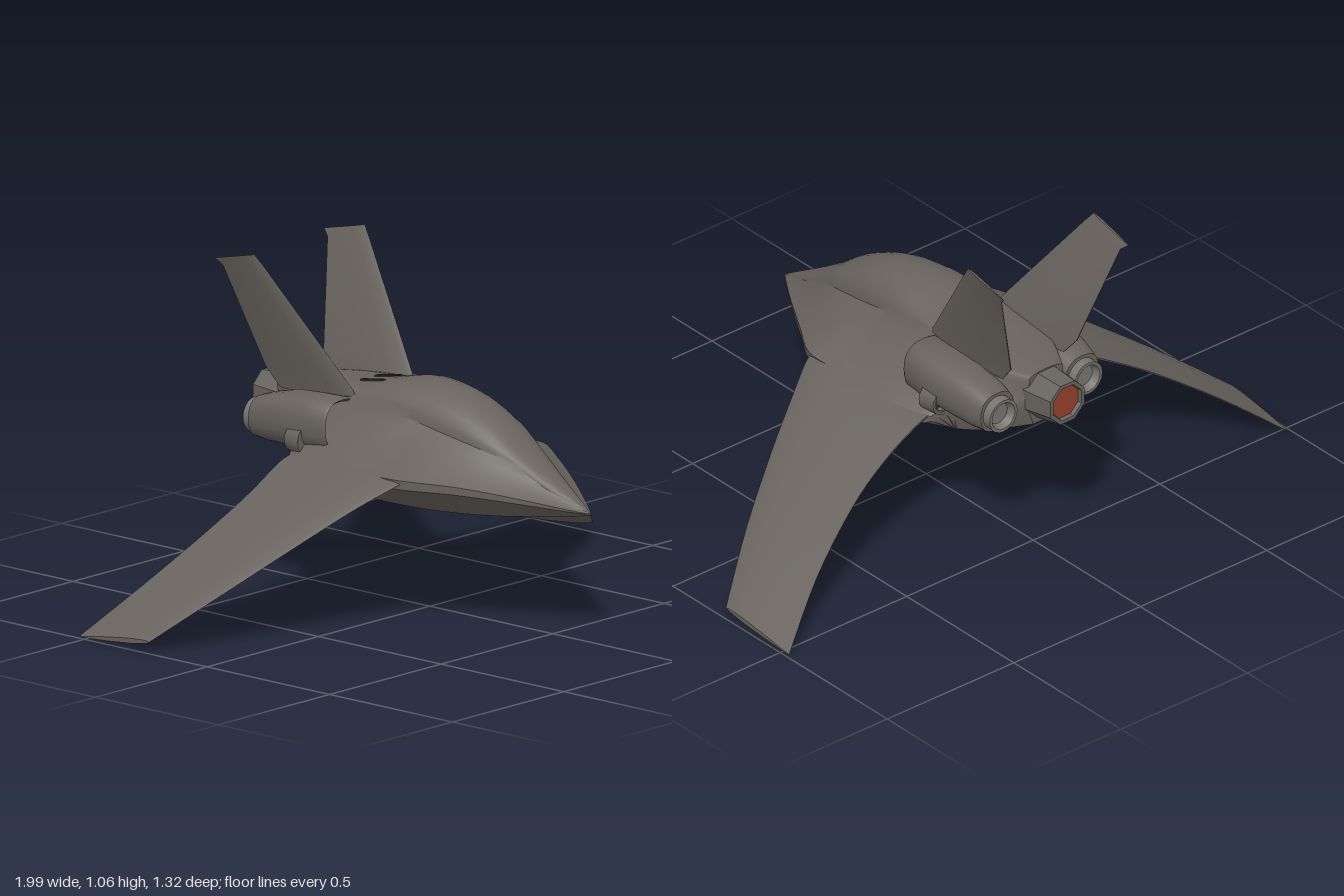
import * as THREE from 'three';
import { toCreasedNormals } from 'three/addons/utils/BufferGeometryUtils.js';

const V = (x, y, z) => new THREE.Vector3(x, y, z);
const material = (name, color) => {
  const m = new THREE.MeshStandardMaterial({ color });
  m.name = name;
  return m;
};

// Skin a row of equal-length closed rings, with fan caps at both ends.
function loft(rings, crease = 0.6, mirrored = false) {
  const n = rings[0].length, last = rings.length - 1, pos = [];
  const tri = (a, b, c) => {
    for (const p of mirrored ? [a, c, b] : [a, b, c]) pos.push(mirrored ? -p.x : p.x, p.y, p.z);
  };
  for (let i = 0; i < last; i++) {
    for (let j = 0; j < n; j++) {
      const k = (j + 1) % n, A = rings[i], B = rings[i + 1];
      tri(A[j], A[k], B[j]);
      tri(A[k], B[k], B[j]);
    }
  }
  for (let j = 1; j < n - 1; j++) {
    tri(rings[0][0], rings[0][j + 1], rings[0][j]);
    tri(rings[last][0], rings[last][j], rings[last][j + 1]);
  }
  const g = new THREE.BufferGeometry();
  g.setAttribute('position', new THREE.Float32BufferAttribute(pos, 3));
  return toCreasedNormals(g, crease);
}

// Fill in smooth rows between the given ones.
function smoothRows(rows, steps) {
  const out = [];
  for (let i = 0; i < rows.length - 1; i++) {
    const a = rows[Math.max(i - 1, 0)], b = rows[i], c = rows[i + 1], d = rows[Math.min(i + 2, rows.length - 1)];
    for (let s = 0; s < steps; s++) {
      const t = s / steps;
      out.push(b.map((p, k) => {
        const slope = c[k] - a[k];
        const bend = 2 * a[k] - 5 * p + 4 * c[k] - d[k];
        const twist = 3 * (p - c[k]) + d[k] - a[k];
        return p + 0.5 * t * (slope + t * (bend + t * twist));
      }));
    }
  }
  out.push(rows[rows.length - 1]);
  return out;
}

// Body section: domed top, hollow flare to the chine, flat belly.
function bodyRing([z, top, sx, sy, cx, cy, bx, by]) {
  const half = [];
  for (let i = 0; i <= 7; i++) {
    const a = (i / 7) * Math.PI / 2;
    half.push([sx * Math.sin(a), sy + (top - sy) * Math.cos(a)]);
  }
  const qx = sx + (cx - sx) * 0.4, qy = cy + (sy - cy) * 0.36;
  for (let i = 1; i <= 6; i++) {
    const t = i / 6, u = 1 - t;
    half.push([u * u * sx + 2 * u * t * qx + t * t * cx, u * u * sy + 2 * u * t * qy + t * t * cy]);
  }
  half.push([cx * 0.98 + bx * 0.02, cy + (by - cy) * 0.25], [bx, by]);
  const other = half.slice(1).reverse().map(([x, y]) => [-x, y]);
  return [...half, ...other].map(([x, y]) => V(x, y, z));
}

// Thin aerofoil between a leading and a trailing point.
function foilRing(lead, trail, t, n) {
  const at = (f, h) => trail.clone().lerp(lead, f).addScaledVector(n, h * t);
  return [at(0, 0.08), at(0.4, 0.4), at(0.75, 0.5), at(0.95, 0.3), at(1, 0),
    at(0.95, -0.3), at(0.75, -0.5), at(0.4, -0.4), at(0, -0.08)];
}

// Round or slightly squared ring, clockwise seen from the front.
function tubeRing([z, cx, cy, r], sides = 28, power = 2, turn = 0) {
  const bend = (v) => Math.sign(v) * Math.pow(Math.abs(v), 2 / power);
  return Array.from({ length: sides }, (_, i) => {
    const a = turn + (i / sides) * Math.PI * 2;
    return V(cx + r * bend(Math.sin(a)), cy + r * bend(Math.cos(a)), z);
  });
}

export function createModel() {
  const hull = material('hull grey', 0x68635e);
  const metal = material('nozzle metal', 0x787470);
  const dark = material('dark recess', 0x35322f);
  const glow = material('exhaust red', 0x96402c);

  const model = new THREE.Group();
  model.name = 'aircraft';
  const add = (name, geometry, mat) => {
    const mesh = new THREE.Mesh(geometry, mat);
    mesh.name = name;
    model.add(mesh);
    return mesh;
  };

  // Body with the blended canopy: z, top, shoulder x y, chine x y, belly x y
  const body = [
    [0.655, 0.402, 0.002, 0.401, 0.004, 0.4, 0.002, 0.396],
    [0.6, 0.435, 0.02, 0.425, 0.045, 0.412, 0.025, 0.387],
    [0.5, 0.495, 0.05, 0.47, 0.115, 0.435, 0.07, 0.378],
    [0.4, 0.56, 0.075, 0.525, 0.18, 0.455, 0.12, 0.372],
    [0.3, 0.632, 0.105, 0.56, 0.243, 0.47, 0.16, 0.369],
    [0.17, 0.692, 0.125, 0.59, 0.32, 0.48, 0.19, 0.366],
    [0.05, 0.714, 0.135, 0.615, 0.32, 0.476, 0.2, 0.365],
    [-0.05, 0.71, 0.14, 0.635, 0.32, 0.472, 0.2, 0.365],
    [-0.2, 0.676, 0.135, 0.65, 0.31, 0.465, 0.2, 0.37],
    [-0.32, 0.66, 0.13, 0.648, 0.28, 0.46, 0.18, 0.388],
    [-0.36, 0.655, 0.13, 0.645, 0.2, 0.5, 0.17, 0.396],
    [-0.45, 0.648, 0.12, 0.635, 0.17, 0.52, 0.13, 0.42],
    [-0.56, 0.638, 0.065, 0.625, 0.075, 0.55, 0.05, 0.46],
  ];
  add('fuselage', loft(smoothRows(body, 4).map(bodyRing), 0.55), hull);

  // Eight-sided centre exhaust with a red core
  const centre = [[-0.5, 0, 0.55, 0.092], [-0.66, 0, 0.563, 0.073], [-0.66, 0, 0.563, 0.06], [-0.645, 0, 0.563, 0.056]];
  add('centreExhaust', loft(centre.map((r) => tubeRing(r, 8, 2, Math.PI / 8)), 0.3), hull);
  const core = new THREE.CircleGeometry(0.056, 8, Math.PI / 8).rotateY(Math.PI);
  add('exhaustCore', core, glow).position.set(0, 0.563, -0.648);

  // Wing rows: x, lead z, trail z, lead y, trail y, thickness
  const wing = smoothRows([
    [0.25, 0.17, -0.325, 0.478, 0.47, 0.035],
    [0.32, 0.168, -0.328, 0.468, 0.45, 0.035],
    [0.45, 0.098, -0.332, 0.4, 0.378, 0.032],
    [0.6, 0.015, -0.36, 0.308, 0.288, 0.028],
    [0.8, -0.105, -0.43, 0.176, 0.152, 0.024],
    [0.995, -0.24, -0.53, 0.035, 0.002, 0.016],
  ], 4).map(([x, zl, zt, yl, yt, t]) => foilRing(V(x, yl, zl), V(x - 0.005, yt, zt), t, V(0, 1, 0)));

  // Tail fins leaning outward, with a small hooked tip
  const inward = V(-1, 0, 0);
  const fin = [
    foilRing(V(0.125, 0.62, -0.16), V(0.12, 0.62, -0.5), 0.026, inward),
    foilRing(V(0.135, 0.67, -0.195), V(0.13, 0.68, -0.55), 0.024, inward),
    foilRing(V(0.237, 1.025, -0.463), V(0.235, 1.0, -0.63), 0.012, inward),
    foilRing(V(0.248, 1.058, -0.49), V(0.246, 1.02, -0.655), 0.008, inward),
  ];

  // Engine pods: hollow intake, outer skin, then a separate nozzle
  const pod = [
    [-0.27, 0.175, 0.565, 0.058], [-0.205, 0.176, 0.565, 0.07], [-0.195, 0.176, 0.565, 0.078],
    [-0.205, 0.176, 0.565, 0.083], [-0.3, 0.175, 0.56, 0.085], [-0.4, 0.172, 0.555, 0.083],
    [-0.48, 0.17, 0.545, 0.074], [-0.53, 0.168, 0.538, 0.064],
  ].map((r) => tubeRing(r, 28, 2.5));
  const nozzle = [
    [-0.5, 0.168, 0.537, 0.056], [-0.56, 0.168, 0.535, 0.055],
    [-0.56, 0.168, 0.535, 0.045], [-0.535, 0.168, 0.535, 0.036],
  ].map((r) => tubeRing(r, 20));
  // Small round port behind each wing root
  const port = [
    [-0.29, 0.225, 0.51, 0.05], [-0.35, 0.225, 0.51, 0.044],
    [-0.35, 0.225, 0.51, 0.034], [-0.335, 0.225, 0.51, 0.03],
  ].map((r) => tubeRing(r, 16));

  for (const [side, right] of [['left', false], ['right', true]]) {
    const s = right ? -1 : 1;
    add(side + 'Wing', loft(wing, 0.7, right), hull);
    add(side + 'TailFin', loft(fin, 0.5, right), hull);
    add(side + 'EnginePod', loft(pod, 0.7, right), hull);
    add(side + 'Nozzle', loft(nozzle, 0.5, right), metal);
    add(side + 'RootPort', loft(port, 0.5, right), hull);

    // Recess faces inside the intake and the port
    add(side + 'IntakeFace', new THREE.CircleGeometry(0.056, 20), dark).position.set(s * 0.175, 0.565, -0.266);
    add(side + 'PortFace', new THREE.CircleGeometry(0.029, 16).rotateY(Math.PI), dark).position.set(s * 0.225, 0.51, -0.338);

    // Narrow vent on the spine
    const vent = add(side + 'SpineVent', new THREE.BoxGeometry(0.013, 0.009, 0.1), dark);
    vent.position.set(s * 0.035, 0.676, -0.2);
    vent.rotation.set(-0.16, s * 0.06, 0);
  }
  return model;
}
